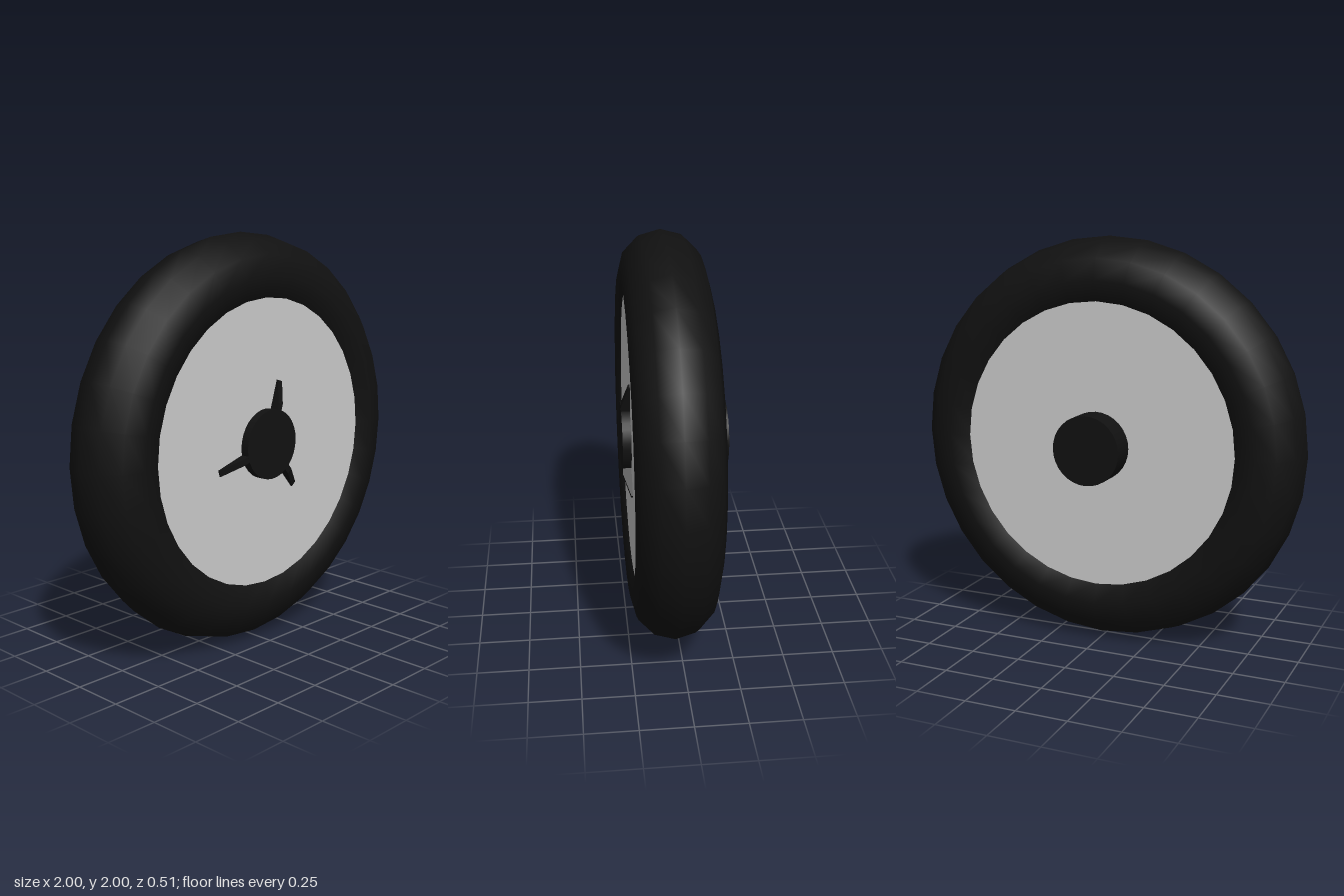
import * as THREE from 'three';

const CENTER_Z = 0.04; // the wheel sits slightly forward of the hub's middle

export function createModel() {
  const group = new THREE.Group();
  const black = new THREE.MeshStandardMaterial({ color: 0x111111 });
  const grey = new THREE.MeshStandardMaterial({ color: 0xcccccc });

  const add = (name, geometry, material, z = 0) => {
    const mesh = new THREE.Mesh(geometry, material);
    mesh.name = name;
    mesh.position.set(0, 1, z);
    group.add(mesh);
    return mesh;
  };

  // Rounded tyre
  add('tyre', new THREE.TorusGeometry(0.8, 0.2, 12, 32), black, CENTER_Z);

  // Solid wheel disc filling the tyre
  add('wheelDisc', new THREE.CylinderGeometry(0.7, 0.7, 0.346, 32).rotateX(Math.PI / 2).rotateZ(Math.PI / 2), grey, CENTER_Z);

  // Hub through the wheel, longer at the back
  add('hub', new THREE.CylinderGeometry(0.17, 0.17, 0.515, 32).rotateX(Math.PI / 2), black, -0.002);

  // Three thin ribs on the front, sloping from hub height down to the disc
  const ribs = [[73, 0.31], [196.5, 0.335], [-50, 0.31]]; // angle, reach
  ribs.forEach(([angle, reach]) => {
    const profile = new THREE.Shape([
      new THREE.Vector2(0.1, 0.18),
      new THREE.Vector2(reach, 0.18),
      new THREE.Vector2(reach, 0.22),
      new THREE.Vector2(0.2, 0.255),
      new THREE.Vector2(0.1, 0.255),
    ]);
    const rib = new THREE.ExtrudeGeometry(profile, { depth: 0.032, bevelEnabled: false });
    rib.translate(0, 0, -0.016).rotateX(Math.PI / 2);
    add('hubRib', rib, black).rotation.z = THREE.MathUtils.degToRad(angle);
  });

  return group;
}
